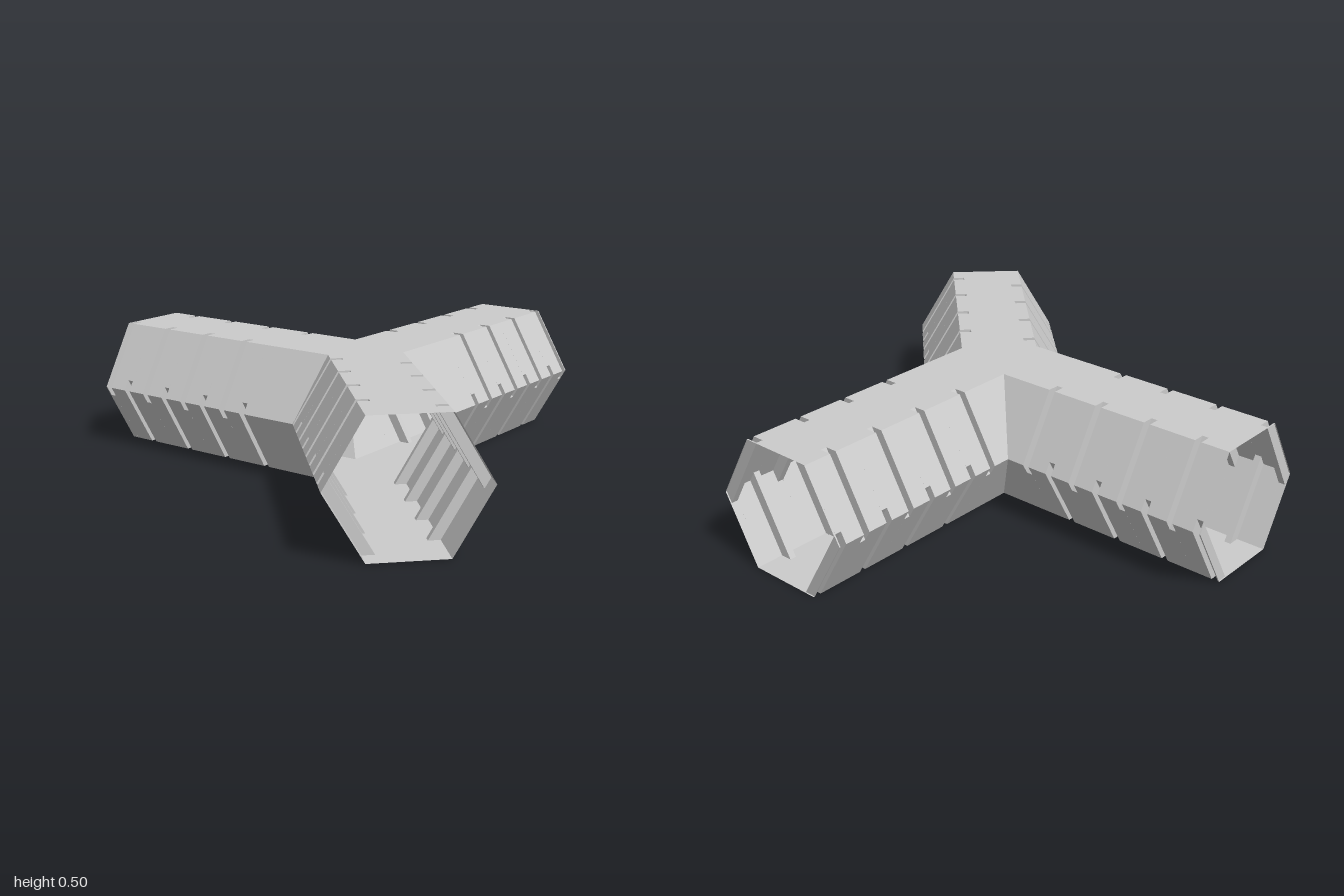
import * as THREE from 'three';

const APEX_Z = 0.02;      // where the three tube axes meet
const STEP = 0.1045;      // spacing between successive slots
const HALF_SLOT = 0.0125;

// Half cross-sections as [distance from axis, height], top centre to bottom centre
const PLAIN = [[0, 0.5], [0.145, 0.5], [0.29, 0.25], [0.145, 0], [0, 0]];
const UPPER_SLOT = [[0, 0.5], [0.1, 0.5], [0.2675, 0.211], [0.145, 0], [0, 0]];
const LOWER_SLOT = UPPER_SLOT.map(([u, y]) => [u, 0.5 - y]).reverse();

// One half of a tube: lofts the open shell along the axis, stepping in at each slot.
// axis and side are [x, z] directions; miter is the slope of the joint at the hub.
function halfTube({ axis, side, miter, first, length, upperFirst }) {
  const place = (s, [u, y]) => new THREE.Vector3(
    axis[0] * s + side[0] * u, y, APEX_Z + axis[1] * s + side[1] * u);
  const ring = (s, profile) => profile.map((p) => place(s, p));

  const rings = [PLAIN.map((p) => place(p[0] * miter, p))];
  for (let i = 0; i < 8; i++) {
    const s = first + i * STEP;
    const slot = (i % 2 === 0) === upperFirst ? UPPER_SLOT : LOWER_SLOT;
    rings.push(
      ring(s - HALF_SLOT, PLAIN), ring(s - HALF_SLOT, slot),
      ring(s + HALF_SLOT, slot), ring(s + HALF_SLOT, PLAIN));
  }
  rings.push(ring(length, PLAIN));

  const flip = side[1] * axis[0] - side[0] * axis[1] < 0;
  const positions = [];
  const tri = (a, b, c) => {
    if (new THREE.Triangle(a, b, c).getArea() < 1e-6) return;
    for (const p of flip ? [a, c, b] : [a, b, c]) positions.push(p.x, p.y, p.z);
  };
  for (let r = 0; r < rings.length - 1; r++) {
    const A = rings[r], B = rings[r + 1];
    for (let i = 0; i < A.length - 1; i++) {
      tri(A[i], A[i + 1], B[i + 1]);
      tri(A[i], B[i + 1], B[i]);
    }
  }
  const geometry = new THREE.BufferGeometry();
  geometry.setAttribute('position', new THREE.Float32BufferAttribute(positions, 3));
  geometry.computeVertexNormals();
  return geometry;
}

export function createModel() {
  const model = new THREE.Group();
  model.name = 'hexagonalTubeJunction';
  const material = new THREE.MeshStandardMaterial({
    color: 0xcccccc, flatShading: true, side: THREE.DoubleSide,
  });
  const add = (name, options) => {
    const mesh = new THREE.Mesh(halfTube(options), material);
    mesh.name = name;
    model.add(mesh);
  };

  const d = Math.SQRT1_2;
  const wide = Math.tan(Math.PI / 8); // joint between front tube and a rear tube
  for (const m of [1, -1]) {
    const label = m > 0 ? 'left' : 'right';
    // Front tube, slots staggered between its two sides
    add(`${label}FrontTubeHalf`, {
      axis: [0, 1], side: [m, 0], miter: wide, first: 0.136, length: 0.958, upperFirst: m < 0,
    });
    // Rear tubes, mirrored left and right
    const rear = { axis: [m * d, -d], first: 0.375, length: 1.124 };
    add(`${label}RearTubeOuterHalf`, { ...rear, side: [m * d, d], miter: wide, upperFirst: false });
    add(`${label}RearTubeInnerHalf`, { ...rear, side: [-m * d, -d], miter: 1, upperFirst: true });
  }
  return model;
}
